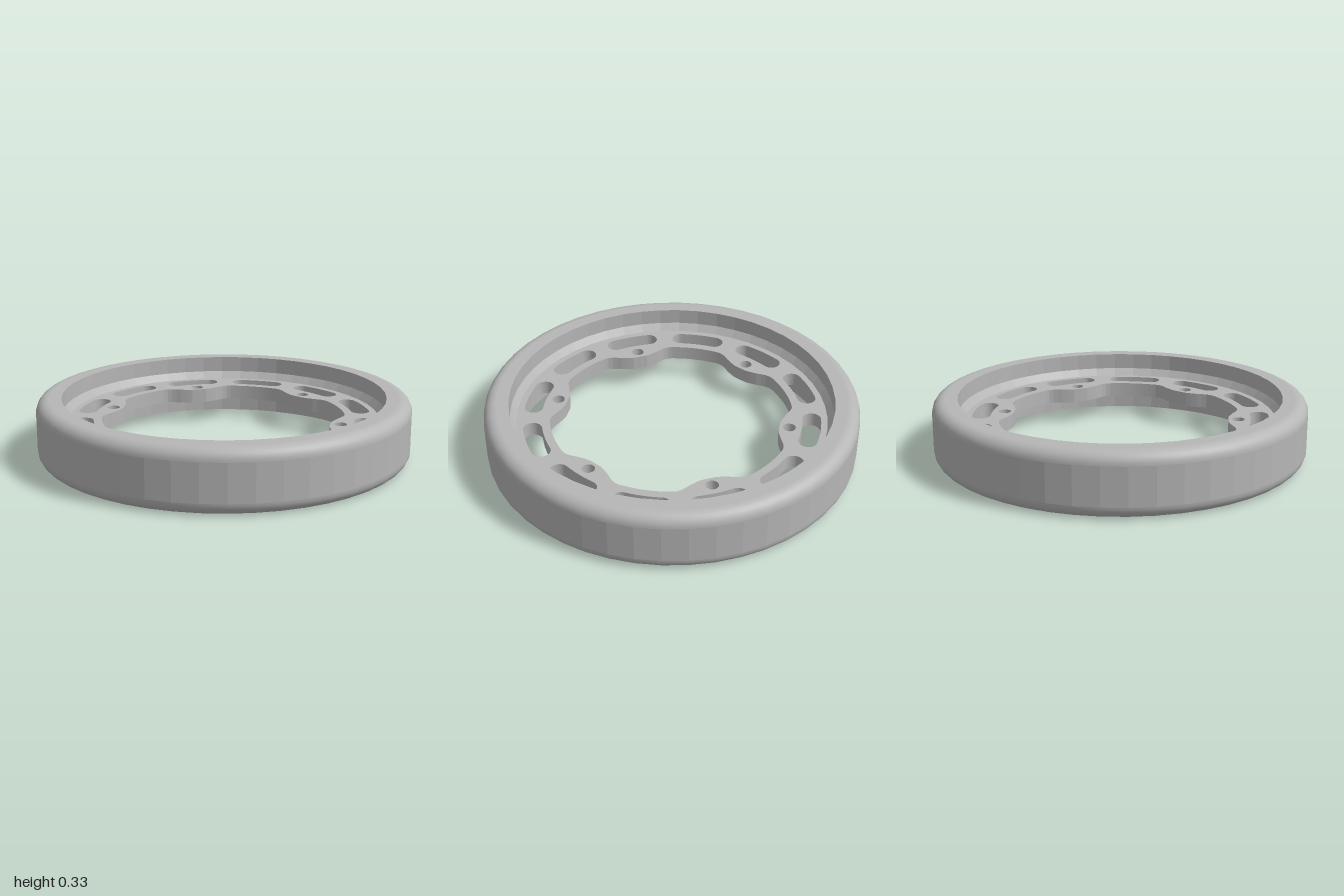
import * as THREE from 'three';

const RAD = Math.PI / 180;
const SIDES = 48;
const HEIGHT = 0.33, FILLET = 0.065;
const WEB_LOW = 0.126, WEB_HIGH = 0.204;
const PHASE = 13.7; // angle of the first bolt hole, in degrees

// Inner edge of the web: angle from the lug centre (degrees), radius
const LUG = [[0, 0.582], [4, 0.584], [7, 0.595], [10, 0.612], [13, 0.635], [15, 0.649], [17, 0.655], [30, 0.655]];

function lugRadius(offset) {
  const d = Math.abs(offset);
  const i = Math.max(1, LUG.findIndex(p => p[0] >= d));
  const [a0, r0] = LUG[i - 1], [a1, r1] = LUG[i];
  return r0 + (r1 - r0) * (d - a0) / (a1 - a0);
}

const polar = (r, deg) => new THREE.Vector2(r * Math.cos(deg * RAD), r * Math.sin(deg * RAD));

export function createModel() {
  const model = new THREE.Group();
  model.name = 'ring';
  const grey = new THREE.MeshStandardMaterial({ color: 0xb6b6b6 });
  grey.name = 'grey';

  const add = (name, geometry) => {
    const mesh = new THREE.Mesh(geometry, grey);
    mesh.name = name;
    model.add(mesh);
  };

  // Revolved band; faceted bands get one normal per face
  const band = (name, pairs, faceted) => {
    let geo = new THREE.LatheGeometry(pairs.map(p => new THREE.Vector2(p[0], p[1])), SIDES);
    if (faceted) {
      geo = geo.toNonIndexed();
      geo.computeVertexNormals();
    }
    add(name, geo);
  };

  // Quarter round between two angles of the rim section
  const fillet = (cy, from) => Array.from({ length: 9 }, (_, i) => {
    const a = (from + i * 90 / 8) * RAD;
    return [1 - FILLET + FILLET * Math.cos(a), cy + FILLET * Math.sin(a)];
  });

  // Rim, walked around its section from the bottom outside
  const R = 0.865, r = 0.835, STEP = 0.243;
  band('bottomFillet', fillet(FILLET, -90), false);
  band('outerWall', [[1, FILLET], [1, HEIGHT - FILLET]], true);
  band('topFillet', fillet(HEIGHT - FILLET, 0), false);
  band('topFace', [[1 - FILLET, HEIGHT], [R, HEIGHT]], true);
  band('upperInnerWall', [[R, HEIGHT], [R, STEP]], true);
  band('upperChamfer', [[R, STEP], [r, WEB_HIGH]], true);
  band('lowerChamfer', [[r, WEB_LOW], [R, HEIGHT - STEP]], true);
  band('lowerInnerWall', [[R, HEIGHT - STEP], [R, 0]], true);
  band('bottomFace', [[R, 0], [1 - FILLET, 0]], true);

  // Web with six lugs along its inner edge
  const web = new THREE.Shape(Array.from({ length: 96 }, (_, i) => polar(0.838, i * 3.75)));
  const bore = [];
  for (let a = 0; a < 360; a += 2) {
    const offset = ((a + 30) % 60) - 30;
    bore.push(polar(lugRadius(offset), a + PHASE));
  }
  web.holes.push(new THREE.Path(bore));

  // Bolt holes
  for (let i = 0; i < 6; i++) {
    const c = polar(0.635, PHASE + 60 * i);
    web.holes.push(new THREE.Path().absarc(c.x, c.y, 0.034, 0, Math.PI * 2, false));
  }

  // Curved slots with round ends
  for (let i = 0; i < 12; i++) {
    const mid = PHASE + 30 * i, half = 7.6, w = 0.05, rc = 0.75;
    const a0 = (mid - half) * RAD, a1 = (mid + half) * RAD;
    const c0 = polar(rc, mid - half), c1 = polar(rc, mid + half);
    const slot = new THREE.Path();
    slot.absarc(0, 0, rc + w, a0, a1, false);
    slot.absarc(c1.x, c1.y, w, a1, a1 + Math.PI, false);
    slot.absarc(0, 0, rc - w, a1, a0, true);
    slot.absarc(c0.x, c0.y, w, a0 + Math.PI, a0 + Math.PI * 2, false);
    web.holes.push(slot);
  }

  const webGeo = new THREE.ExtrudeGeometry(web, {
    depth: WEB_HIGH - WEB_LOW, bevelEnabled: false, curveSegments: 12,
  });
  webGeo.rotateX(-Math.PI / 2);
  webGeo.translate(0, WEB_LOW, 0);
  add('slottedWeb', webGeo);

  return model;
}
